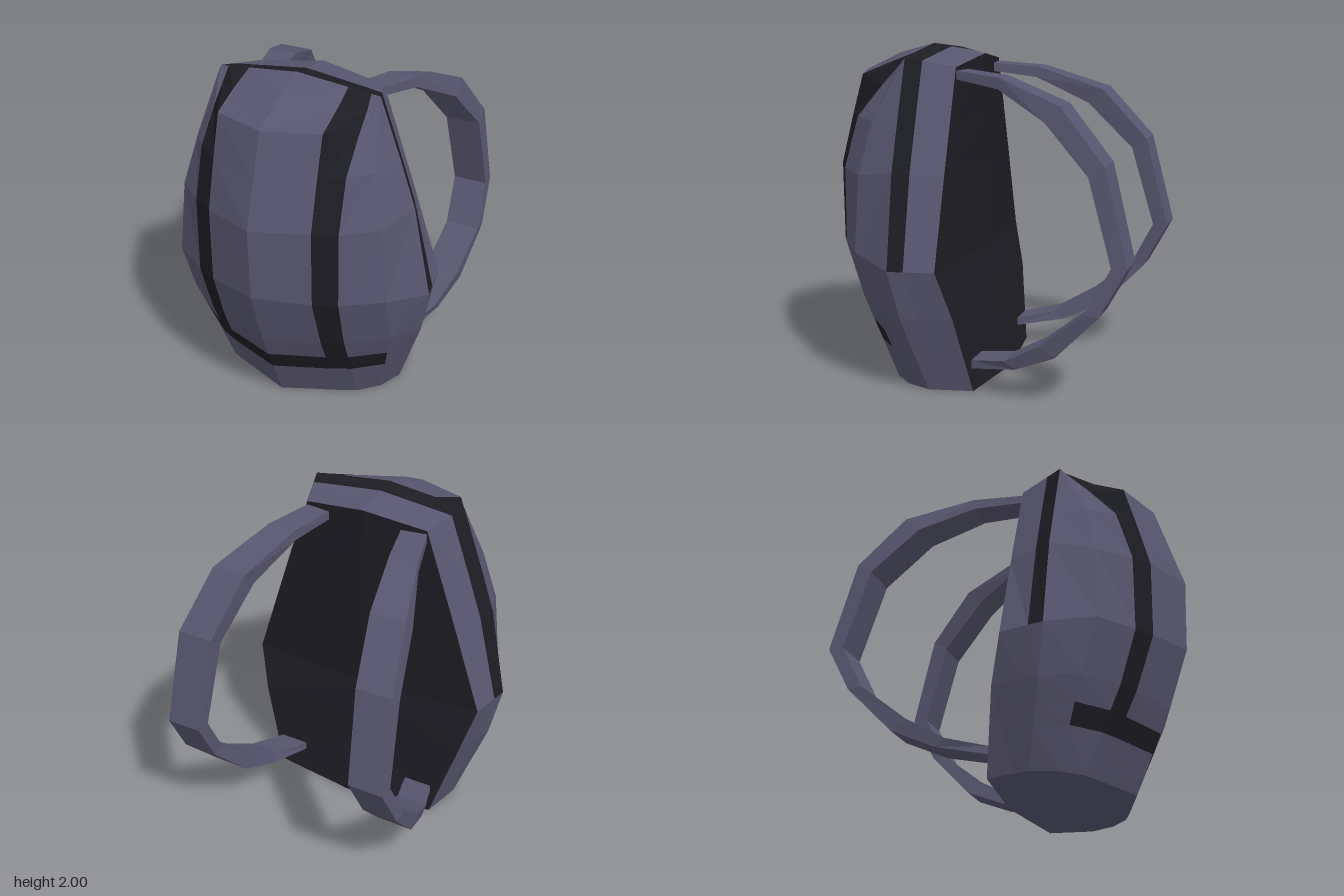
import * as THREE from 'three';

const fabric = new THREE.MeshStandardMaterial({ color: 0x58566f, flatShading: true });
fabric.name = 'purpleFabric';
const webbing = new THREE.MeshStandardMaterial({ color: 0x1c1c23, flatShading: true });
webbing.name = 'darkWebbing';

const lerp = (a, b, t) => a.map((v, i) => v + (b[i] - v) * t);

// Seams of the left half, bottom to top, each point [x, y, z]
const centre = [[0, 0, 0.65], [0, 0.5, 0.865], [0, 0.86, 0.985], [0, 1.3, 1], [0, 1.58, 0.91],
  [0, 1.83, 0.83], [0, 1.94, 0.6], [0, 2, 0.385]];
const strapInner = [[0.32, 0, 0.52], [0.32, 0.5, 0.75], [0.32, 0.83, 0.86], [0.32, 1.29, 0.865], [0.32, 1.58, 0.79],
  [0.32, 1.83, 0.72], [0.32, 1.9, 0.55], [0.31, 1.967, 0.38]];
const strapOuter = [[0.43, 0, 0.47], [0.44, 0.5, 0.69], [0.45, 0.82, 0.79], [0.45, 1.28, 0.79], [0.45, 1.59, 0.7],
  [0.45, 1.78, 0.54], [0.45, 1.88, 0.44], [0.445, 1.952, 0.377]];
const corner = [[0.54, 0, 0.36], [0.66, 0.5, 0.53], [0.675, 0.82, 0.635], [0.635, 1.27, 0.62], [0.56, 1.58, 0.56],
  [0.48, 1.84, 0.46], [0.49, 1.9, 0.415], [0.5, 1.945, 0.375]];
const side = [[0.6, 0, 0.21], [0.77, 0.47, 0.32], [0.83, 0.76, 0.37], [0.723, 1.31, 0.375], [0.635, 1.57, 0.375],
  [0.5, 1.945, 0.375]];
const backEdge = [[0.55, 0, -0.05], [0.7, 0.48, 0.025], [0.78, 0.76, 0.1], [0.603, 1.3, 0.1], [0.51, 1.57, 0.1],
  [0.4, 1.89, 0.1]];
const backCentre = [[0, 0, -0.12], [0, 0.48, 0], [0, 0.76, 0.048], [0, 1.3, 0.055], [0, 1.57, 0.055],
  [0, 1.945, 0.055]];
const sideStrapEdge = side.map((p, i) => lerp(p, backEdge[i], 0.34));

// Adds the two rows that bound the lower horizontal strap
const withBand = (s) => [s[0], lerp(s[0], s[1], 0.47), lerp(s[0], s[1], 0.71), ...s.slice(1)];

// Flat-shaded mesh from a list of quads, with its mirror half
function quadMesh(name, material, quads) {
  const pos = [];
  const tri = (a, b, c) => {
    pos.push(...a, ...b, ...c);
    for (const [x, y, z] of [a, c, b]) pos.push(-x, y, z);
  };
  for (const [a, b, c, d] of quads) {
    tri(a, b, c);
    tri(a, c, d);
  }
  const geo = new THREE.BufferGeometry();
  geo.setAttribute('position', new THREE.Float32BufferAttribute(pos, 3));
  geo.computeVertexNormals();
  const mesh = new THREE.Mesh(geo, material);
  mesh.name = name;
  return mesh;
}

// Quads between neighbouring seams; keep(column, row) selects some of them
function between(seams, keep = () => true) {
  const quads = [];
  for (let c = 0; c < seams.length - 1; c++) {
    for (let r = 0; r < seams[c].length - 1; r++) {
      if (keep(c, r)) quads.push([seams[c][r], seams[c + 1][r], seams[c + 1][r + 1], seams[c][r + 1]]);
    }
  }
  return quads;
}

// Shoulder strap stations: [outer y, outer z, inner y, inner z, inside x, outside x]
const strapPath = [
  [1.87, 0.1, 1.82, 0.1, 0.235, 0.4],
  [1.845, -0.19, 1.78, -0.18, 0.31, 0.49],
  [1.71, -0.58, 1.62, -0.49, 0.405, 0.62],
  [1.4, -0.85, 1.34, -0.76, 0.47, 0.69],
  [0.85, -0.99, 0.85, -0.9, 0.5, 0.715],
  [0.57, -0.84, 0.58, -0.76, 0.51, 0.73],
  [0.3, -0.58, 0.36, -0.49, 0.475, 0.69],
  [0.19, -0.33, 0.235, -0.27, 0.44, 0.635],
  [0.14, -0.04, 0.19, -0.04, 0.37, 0.55],
];

function shoulderStraps() {
  const rings = strapPath.map(([yo, zo, yi, zi, xa, xb]) =>
    [[xa, yo, zo], [xb, yo, zo], [xb, yi, zi], [xa, yi, zi]]);
  const quads = [];
  for (let i = 0; i < rings.length - 1; i++) {
    for (let k = 0; k < 4; k++) {
      const n = (k + 1) % 4;
      quads.push([rings[i][k], rings[i][n], rings[i + 1][n], rings[i + 1][k]]);
    }
  }
  quads.push([...rings[0]].reverse(), rings[rings.length - 1]);
  return quadMesh('shoulderStraps', fabric, quads);
}

export function createModel() {
  const model = new THREE.Group();
  model.name = 'backpack';

  // Bulging front and top flap, with the T-shaped webbing set into it
  const sideToTop = [...side, side[5], side[5]];
  const front = [centre, strapInner, strapOuter, corner, sideToTop].map(withBand);
  const isWebbing = (c, r) => (r === 1 && c < 3) || (r >= 2 && c === 1);
  model.add(quadMesh('frontBody', fabric, between(front, (c, r) => !isWebbing(c, r))));
  model.add(quadMesh('frontWebbing', webbing, between(front, isWebbing)));

  // Side panels with a vertical strap on the upper part
  const sides = [side, sideStrapEdge, backEdge];
  const isSideStrap = (c, r) => c === 0 && r >= 2;
  model.add(quadMesh('sidePanels', fabric, between(sides, (c, r) => !isSideStrap(c, r))));
  model.add(quadMesh('sideWebbing', webbing, between(sides, isSideStrap)));

  // Back panel
  model.add(quadMesh('backPanel', webbing, between([backEdge, backCentre])));

  // Rear slope of the top, with the strap crossing just behind the ridge
  const rearTop = [centre, strapInner, strapOuter, corner].map((s) => {
    const ridge = s[7];
    const rear = lerp(backCentre[5], backEdge[5], ridge[0] / 0.5);
    return [ridge, lerp(ridge, rear, 0.34), rear];
  });
  model.add(quadMesh('topWebbing', webbing, between(rearTop, (c, r) => r === 0)));
  model.add(quadMesh('rearTop', fabric, between(rearTop, (c, r) => r === 1)));

  // Flat base
  const rim = [centre, strapInner, strapOuter, corner, side, sideStrapEdge, backEdge, backCentre].map((s) => s[0]);
  const hub = [0, 0, 0.2];
  model.add(quadMesh('base', fabric, rim.slice(1).map((p, i) => [hub, p, rim[i], hub])));

  // Pair of carrying loops
  model.add(shoulderStraps());
  return model;
}
